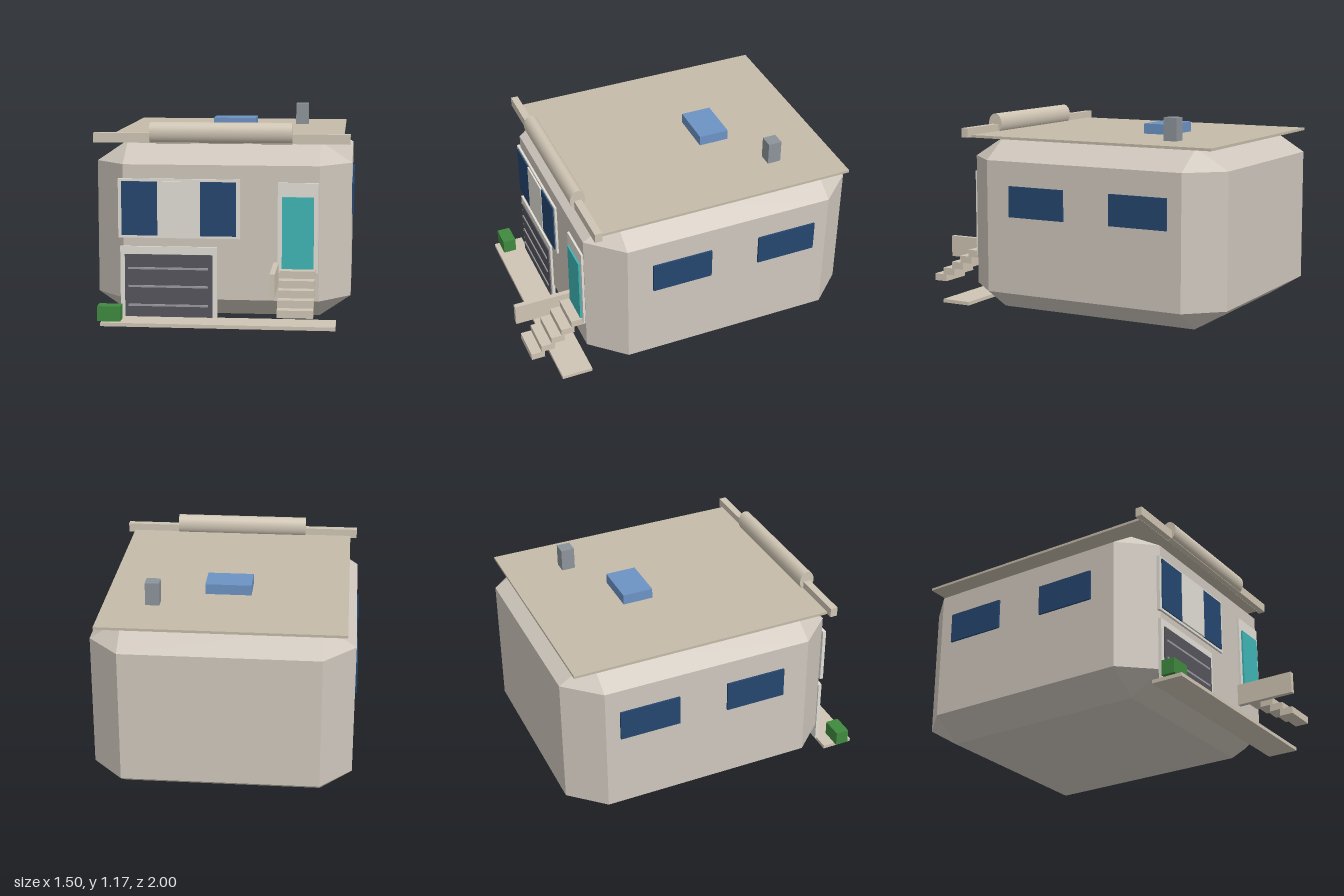
import * as THREE from 'three';
import { ConvexGeometry } from 'three/addons/geometries/ConvexGeometry.js';

const mat = (color) => new THREE.MeshStandardMaterial({ color, flatShading: true });
const M = {
  wall: mat(0xcfc7bd), trim: mat(0xe2ded6), roof: mat(0xc4bba9), stone: mat(0xcfc5b4),
  glass: mat(0x24466f), sky: mat(0x6c93c4), teal: mat(0x3fb5b5), dark: mat(0x55555c),
  slat: mat(0x9a9aa0), metal: mat(0x8d949a), green: mat(0x3f8a3f),
};

export function createModel() {
  const house = new THREE.Group();
  house.name = 'house';

  // Box given by its min and max on each axis
  const box = (name, m, x0, x1, y0, y1, z0, z1) => {
    const mesh = new THREE.Mesh(new THREE.BoxGeometry(x1 - x0, y1 - y0, z1 - z0), m);
    mesh.position.set((x0 + x1) / 2, (y0 + y1) / 2, (z0 + z1) / 2);
    mesh.name = name;
    house.add(mesh);
    return mesh;
  };

  // Body: box with every edge chamfered
  const X = 0.74, XI = 0.56, ZC = -0.178, Z = 0.822, ZI = 0.627;
  const pts = [];
  for (const sx of [-1, 1]) for (const sz of [-1, 1]) {
    for (const y of [0.125, 0.9]) {
      pts.push(new THREE.Vector3(sx * X, y, ZC + sz * ZI));
      pts.push(new THREE.Vector3(sx * XI, y, ZC + sz * Z));
    }
    for (const y of [0.002, 1.02]) pts.push(new THREE.Vector3(sx * XI, y, ZC + sz * ZI));
  }
  const body = new THREE.Mesh(new ConvexGeometry(pts), M.wall);
  body.name = 'body';
  house.add(body);

  // Roof plate with skylight and chimney
  box('roof', M.roof, -0.69, 0.69, 1.02, 1.035, -0.955, 0.6);
  box('skylight', M.sky, -0.135, 0.13, 1.035, 1.095, -0.44, -0.26);
  box('chimney', M.metal, 0.37, 0.45, 1.035, 1.167, -0.63, -0.55);

  // Rolled awning on its bar
  box('awningBar', M.stone, -0.73, 0.73, 1.022, 1.077, 0.59, 0.633);
  const roll = new THREE.Mesh(
    new THREE.CylinderGeometry(0.061, 0.061, 0.81, 24).rotateZ(Math.PI / 2).scale(1, 1, 0.74),
    new THREE.MeshStandardMaterial({ color: 0xcfc5b4 }));
  roll.position.set(0, 1.079, 0.612);
  roll.name = 'awningRoll';
  house.add(roll);

  // Front window
  box('windowFrame', M.trim, -0.587, 0.112, 0.48, 0.82, 0.637, 0.657);
  box('windowPaneLeft', M.glass, -0.567, -0.36, 0.495, 0.805, 0.65, 0.664);
  box('windowPaneMiddle', M.trim, -0.36, -0.115, 0.495, 0.805, 0.65, 0.667);
  box('windowPaneRight', M.glass, -0.115, 0.09, 0.495, 0.805, 0.65, 0.664);

  // Garage door with slats
  box('garageFrame', M.trim, -0.577, -0.02, 0.022, 0.43, 0.637, 0.657);
  box('garageDoor', M.dark, -0.55, -0.045, 0.022, 0.385, 0.65, 0.664);
  for (const y of [0.09, 0.2, 0.305])
    box('garageSlat', M.slat, -0.53, -0.07, y - 0.006, y + 0.006, 0.66, 0.67);

  // Front door
  box('doorFrame', M.trim, 0.325, 0.555, 0.29, 0.805, 0.637, 0.657);
  box('door', M.teal, 0.35, 0.53, 0.3, 0.725, 0.65, 0.668);

  // Steps and the side rail
  for (let i = 0; i < 5; i++) {
    const z = 0.98 - i * 0.063, y = 0.102 + i * 0.0425;
    box('step', M.stone, 0.34, 0.54, y, y + 0.0425, z - 0.082, z);
  }
  box('stepRail', M.stone, 0.302, 0.331, 0.217, 0.347, 0.64, 1.0);

  // Ground slab and planter
  box('slab', M.stone, -0.665, 0.66, 0, 0.021, 0.65, 0.835);
  box('bush', M.green, -0.688, -0.557, 0.021, 0.108, 0.723, 0.803);

  // Two windows on each side
  for (const s of [-1, 1]) for (const z of [0.115, -0.54]) {
    const w = box('sideWindow', M.glass, -0.01, 0.01, 0.578, 0.758, z - 0.18, z + 0.18);
    w.position.x = s * 0.742;
  }

  return house;
}
